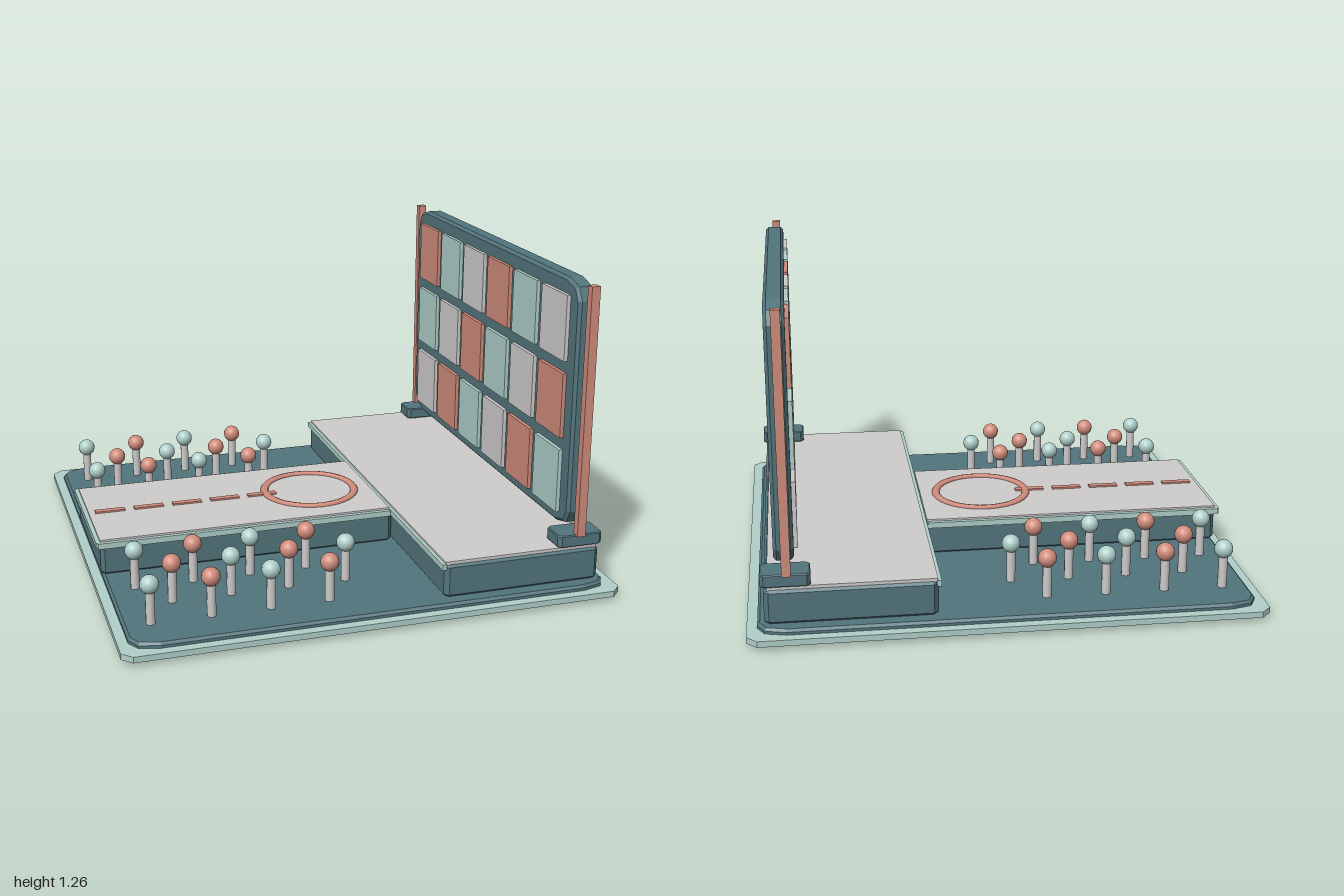
import * as THREE from 'three';

const mat = (name, color) => {
  const m = new THREE.MeshStandardMaterial({ color });
  m.name = name;
  return m;
};

export function createModel() {
  const root = new THREE.Group();
  root.name = 'runwayStage';
  const teal = mat('teal', 0x52757c);
  const pale = mat('paleAqua', 0xb0cfca);
  const coral = mat('coral', 0xd08c7c);
  const grey = mat('lightGrey', 0xcfcccc);

  const add = (name, geometry, material, x = 0, y = 0, z = 0) => {
    const mesh = new THREE.Mesh(geometry, material);
    mesh.name = name;
    mesh.position.set(x, y, z);
    root.add(mesh);
    return mesh;
  };

  // Box given by its limits on each axis
  const box = (name, material, [x0, x1], [y0, y1], [z0, z1]) =>
    add(name, new THREE.BoxGeometry(x1 - x0, y1 - y0, z1 - z0), material,
      (x0 + x1) / 2, (y0 + y1) / 2, (z0 + z1) / 2);

  // Centred plate with cut corners and a bevelled rim, thickness along z.
  // corner lists the cut, as distances in from the two edges.
  const plate = (w, h, depth, corner, bevel) => {
    const a = w / 2 - bevel, b = h / 2 - bevel;
    const pts = [];
    for (const [sx, sy] of [[1, 1], [-1, 1], [-1, -1], [1, -1]]) {
      const cut = corner.map(([dx, dy]) => new THREE.Vector2(sx * (a - dx), sy * (b - dy)));
      pts.push(...(sx * sy > 0 ? cut : cut.reverse()));
    }
    const g = new THREE.ExtrudeGeometry(new THREE.Shape(pts), {
      depth: depth - 2 * bevel, bevelEnabled: bevel > 0,
      bevelThickness: bevel, bevelSize: bevel, bevelSegments: 1,
    });
    return g.translate(0, 0, bevel - depth / 2);
  };
  const softCorner = [[0, 0.065], [0.025, 0.02], [0.1, 0]];
  const smallCut = [[0, 0.04], [0.04, 0]];
  const tinyCut = [[0, 0.012], [0.012, 0]];

  // Base slab with its projecting rim
  add('baseSlab', plate(1.92, 1.92, 0.062, softCorner, 0.01).rotateX(-Math.PI / 2), teal, 0, 0.031, 0);
  add('baseRim', plate(2, 2, 0.024, smallCut, 0).rotateX(-Math.PI / 2), pale, 0, 0.029, 0);

  // Main stage across the right side
  add('stageBody', plate(0.655, 1.82, 0.135, tinyCut, 0.01).rotateX(-Math.PI / 2), teal, 0.605, 0.13, 0);
  box('stageFloor', grey, [0.28, 0.92], [0.195, 0.21], [-0.9, 0.9]);
  box('stageEdgeTrim', pale, [0.266, 0.284], [0.178, 0.202], [-0.905, 0.905]);

  // Runway reaching to the opposite edge
  add('runwayBody', plate(1.24, 0.62, 0.13, tinyCut, 0.008).rotateX(-Math.PI / 2), teal, -0.345, 0.127, 0);
  box('runwayFloor', grey, [-0.965, 0.264], [0.19, 0.208], [-0.3, 0.3]);
  for (const s of [-1, 1]) {
    const z = [s * 0.302, s * 0.32].sort((p, q) => p - q);
    box('runwaySideTrim', pale, [-0.975, 0.262], [0.177, 0.201], z);
  }
  box('runwayEndTrim', pale, [-0.982, -0.965], [0.177, 0.201], [-0.31, 0.31]);

  // Floor markings: ring and dashed centre line
  const ring = add('floorRing', new THREE.TorusGeometry(0.196, 0.017, 8, 40).rotateX(Math.PI / 2), coral, 0, 0.21, 0);
  ring.scale.y = 0.6;
  for (let i = 0; i < 5; i++) {
    const x = -0.875 + i * 0.165;
    box('centreDash', coral, [x - 0.0625, x + 0.0625], [0.206, 0.215], [-0.014, 0.014]);
  }

  // Ball-topped posts in three staggered rows on each side
  const postGeo = new THREE.CylinderGeometry(0.018, 0.018, 0.145, 10);
  const ballGeo = new THREE.SphereGeometry(0.037, 16, 12);
  for (const s of [-1, 1]) {
    [0.467, 0.628, 0.792].forEach((z, row) => {
      for (let i = 0; i < 4; i++) {
        const x = -0.857 + i * 0.234 + (row === 1 ? 0.117 : 0);
        add('post', postGeo, grey, x, 0.1325, s * z);
        add('postBall', ballGeo, (i + row) % 2 ? coral : pale, x, 0.222, s * z);
      }
    });
  }

  // Upright screen with a bevelled frame
  add('screenPanel', plate(1.7, 1.005, 0.077, softCorner, 0.012).rotateY(Math.PI / 2), teal, 0.852, 0.7625, 0);

  // Coloured tiles on the runway side of the screen
  const tileGeo = new THREE.BoxGeometry(0.02, 0.264, 0.222);
  const tileMats = [coral, pale, grey];
  for (let r = 0; r < 3; r++) {
    for (let c = 0; c < 6; c++) {
      add('screenTile', tileGeo, tileMats[(r + c) % 3], 0.808, 1.07 - r * 0.3135, -0.6675 + c * 0.267);
    }
  }

  // Masts and feet at both ends of the screen
  for (const s of [-1, 1]) {
    add('screenMast', new THREE.BoxGeometry(0.035, 1.01, 0.034), coral, 0.845, 0.76, s * 0.902);
    add('screenFoot', plate(0.19, 0.12, 0.05, tinyCut, 0.004).rotateX(-Math.PI / 2), teal, 0.85, 0.235, s * 0.848);
  }

  return root;
}
